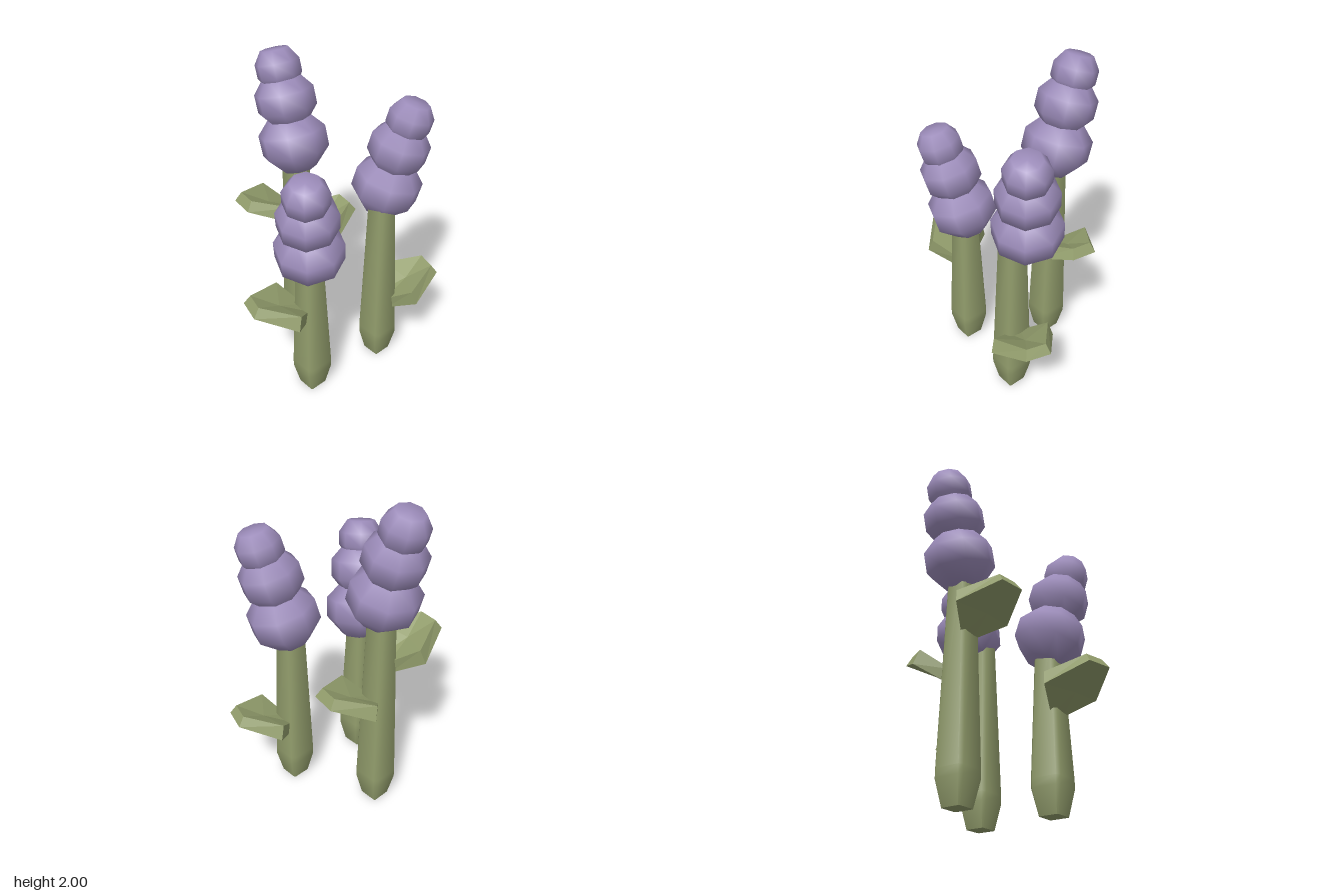
import * as THREE from 'three';
import { toCreasedNormals } from 'three/addons/utils/BufferGeometryUtils.js';

const green = new THREE.MeshStandardMaterial({ color: 0x929d6c });
green.name = 'leaf green';
const purple = new THREE.MeshStandardMaterial({ color: 0x9c8cba });
purple.name = 'blossom purple';

// Skin a stack of equal-length rings and close both ends with fans.
function loft(rings, bottomCentre, topCentre) {
  const pos = [];
  const tri = (...corners) => corners.forEach((p) => pos.push(...p));
  const n = rings[0].length;
  const last = rings[rings.length - 1];
  for (let i = 0; i < n; i++) {
    const j = (i + 1) % n;
    for (let k = 0; k + 1 < rings.length; k++) {
      const lo = rings[k], hi = rings[k + 1];
      tri(lo[i], hi[i], lo[j]);
      tri(lo[j], hi[i], hi[j]);
    }
    tri(bottomCentre, rings[0][i], rings[0][j]);
    tri(topCentre, last[j], last[i]);
  }
  const geo = new THREE.BufferGeometry();
  geo.setAttribute('position', new THREE.Float32BufferAttribute(pos, 3));
  geo.computeVertexNormals();
  return geo;
}

// Stem: a diamond section with narrow bevels, swelling above the foot.
function makeStem(height) {
  const ring = (y, r, w) => [
    [r, y, -w], [r, y, w], [w, y, r], [-w, y, r],
    [-r, y, w], [-r, y, -w], [-w, y, -r], [w, y, -r],
  ];
  const rings = [
    ring(0, 0.08, 0.004),
    ring(0.15, 0.117, 0.014),
    ring(0.2, 0.117, 0.014),
    ring(height, 0.078, 0.012),
  ];
  const geo = toCreasedNormals(loft(rings, [0, 0, 0], [0, height, 0]), 0.9);
  const mesh = new THREE.Mesh(geo, green);
  mesh.name = 'stem';
  return mesh;
}

// Leaf: a thick cupped plate, reaching out along +x from the stem.
function makeLeaf(y, turn) {
  const mirrored = (half) => [
    ...half.map(([u, h, v]) => [u, h, -v]),
    ...half.slice().reverse(),
  ];
  const under = mirrored([[0.045, 0, 0.04], [0.165, 0.105, 0.2], [0.387, 0.2, 0.078]]);
  const rim = mirrored([[0.03, 0.08, 0.04], [0.14, 0.19, 0.175], [0.35, 0.255, 0.06]]);
  const mesh = new THREE.Mesh(loft([under, rim], [0.2, 0.095, 0], [0.2, 0.165, 0]), green);
  mesh.name = 'leaf';
  mesh.position.y = y;
  mesh.rotation.y = THREE.MathUtils.degToRad(turn);
  return mesh;
}

// Blossom: three shrinking eight-sided balls leaning towards +x.
function makeBlossom() {
  const head = new THREE.Group();
  head.name = 'blossom';
  const balls = [
    ['lowerBall', 0, 0, 0.207, 0.5],
    ['middleBall', 0.06, 0.245, 0.18, 0.54],
    ['topBall', 0.113, 0.42, 0.134, 0.62],
  ];
  for (const [name, x, y, r, cap] of balls) {
    const profile = [[0, -0.83], [cap, -0.83], [0.98, -0.3], [0.98, 0.3], [cap, 0.83], [0, 0.83]]
      .map(([a, b]) => new THREE.Vector2(a * r, b * r));
    const ball = new THREE.Mesh(new THREE.LatheGeometry(profile, 8), purple);
    ball.name = name;
    ball.position.set(x, y, 0);
    ball.rotation.z = -0.28;
    head.add(ball);
  }
  return head;
}

export function createModel() {
  const model = new THREE.Group();
  model.name = 'flowers';
  const flowers = [
    { name: 'leftFlower', stem: [0.24, -0.055], head: [0.268, 1.24, -0.14], lean: 0,
      leaves: [[0.36, 28]] },
    { name: 'tallFlower', stem: [-0.28, -0.25], head: [-0.29, 1.45, -0.27], lean: 135,
      leaves: [[0.94, 217], [0.68, 35]] },
    { name: 'frontFlower', stem: [-0.17, 0.275], head: [-0.166, 1.055, 0.288], lean: -90,
      leaves: [[0.55, 210]] },
  ];
  for (const f of flowers) {
    const flower = new THREE.Group();
    flower.name = f.name;
    flower.position.set(f.stem[0], 0, f.stem[1]);
    flower.add(makeStem(f.head[1] - 0.08));
    for (const [y, turn] of f.leaves) flower.add(makeLeaf(y, turn));
    const blossom = makeBlossom();
    blossom.position.set(f.head[0] - f.stem[0], f.head[1], f.head[2] - f.stem[1]);
    blossom.rotation.y = THREE.MathUtils.degToRad(f.lean);
    flower.add(blossom);
    model.add(flower);
  }
  return model;
}
